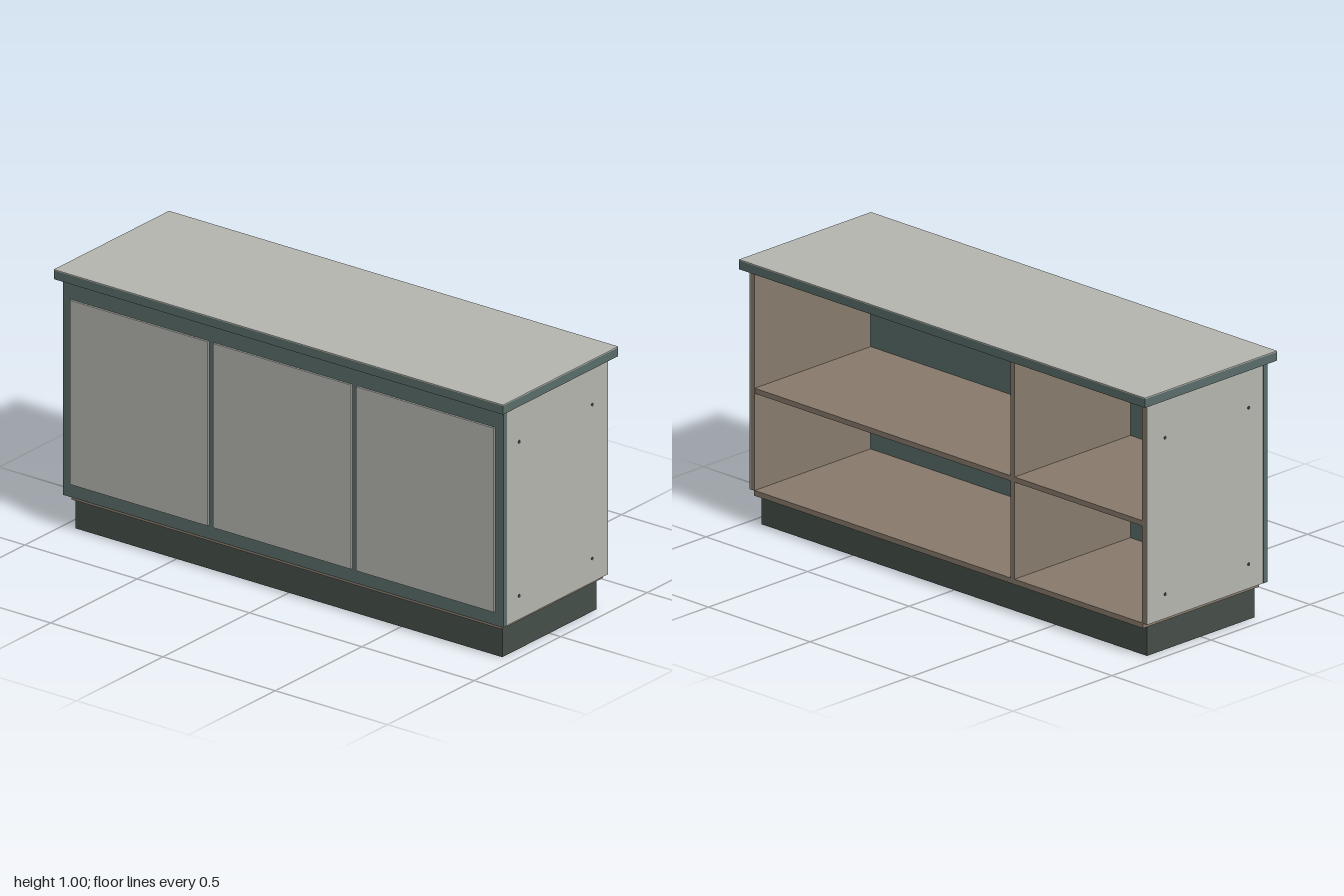
import * as THREE from 'three';

const material = (name, color) => {
  const m = new THREE.MeshStandardMaterial({ color });
  m.name = name;
  return m;
};

export function createModel() {
  const group = new THREE.Group();
  const grey = material('pale grey laminate', 0xb5b5af);
  const teal = material('grey teal trim', 0x5a6d6a);
  const wood = material('brown board', 0x887a6c);
  const dark = material('dark plinth', 0x454e48);
  const screw = material('dark screw', 0x39423f);

  // Box given by its low and high corners
  const box = (name, mat, [x0, y0, z0], [x1, y1, z1]) => {
    const mesh = new THREE.Mesh(new THREE.BoxGeometry(x1 - x0, y1 - y0, z1 - z0), mat);
    mesh.position.set((x0 + x1) / 2, (y0 + y1) / 2, (z0 + z1) / 2);
    mesh.name = name;
    group.add(mesh);
    return mesh;
  };

  // Plinth and bottom board
  box('plinth', dark, [-0.95, 0, -0.272], [0.95, 0.113, 0.272]);
  box('bottomBoard', wood, [-0.958, 0.113, -0.3], [0.958, 0.133, 0.285]);

  // Counter: teal edges, brown underside, thin grey top sheet
  box('counter', [teal, teal, teal, wood, teal, teal], [-1, 0.963, -0.333], [1, 0.996, 0.333]);
  box('counterTopSheet', grey, [-1, 0.996, -0.333], [1, 1, 0.333]);

  // Front panel and its three raised door panels
  box('frontPanel', teal, [-0.98, 0.132, 0.285], [0.98, 0.963, 0.305]);
  for (const [a, b] of [[-0.943, -0.33], [-0.306, 0.308], [0.33, 0.943]]) {
    box('doorPanel', grey, [a, 0.184, 0.305], [b, 0.89, 0.313]);
  }

  // Ends: brown board with grey outer sheet and four screws
  for (const s of [-1, 1]) {
    const end = (name, mat, a, b) =>
      box(name, mat, [Math.min(s * a, s * b), 0.132, -0.301], [Math.max(s * a, s * b), 0.963, 0.285]);
    end('endBoard', wood, 0.955, 0.975);
    end('endSheet', grey, 0.975, 0.979);
    for (const y of [0.223, 0.813]) {
      for (const z of [-0.21, 0.212]) {
        const head = new THREE.Mesh(new THREE.CylinderGeometry(0.006, 0.006, 0.004, 16), screw);
        head.rotation.z = Math.PI / 2;
        head.position.set(s * 0.979, y, z);
        head.name = 'screwHead';
        group.add(head);
      }
    }
  }

  // Open shelving at the back
  box('shelf', wood, [-0.955, 0.498, -0.3], [0.955, 0.518, 0.285]);
  box('lowerDivider', wood, [-0.325, 0.133, -0.3], [-0.305, 0.498, 0.285]);
  box('upperDivider', wood, [-0.325, 0.518, -0.3], [-0.305, 0.963, 0.285]);

  return group;
}
